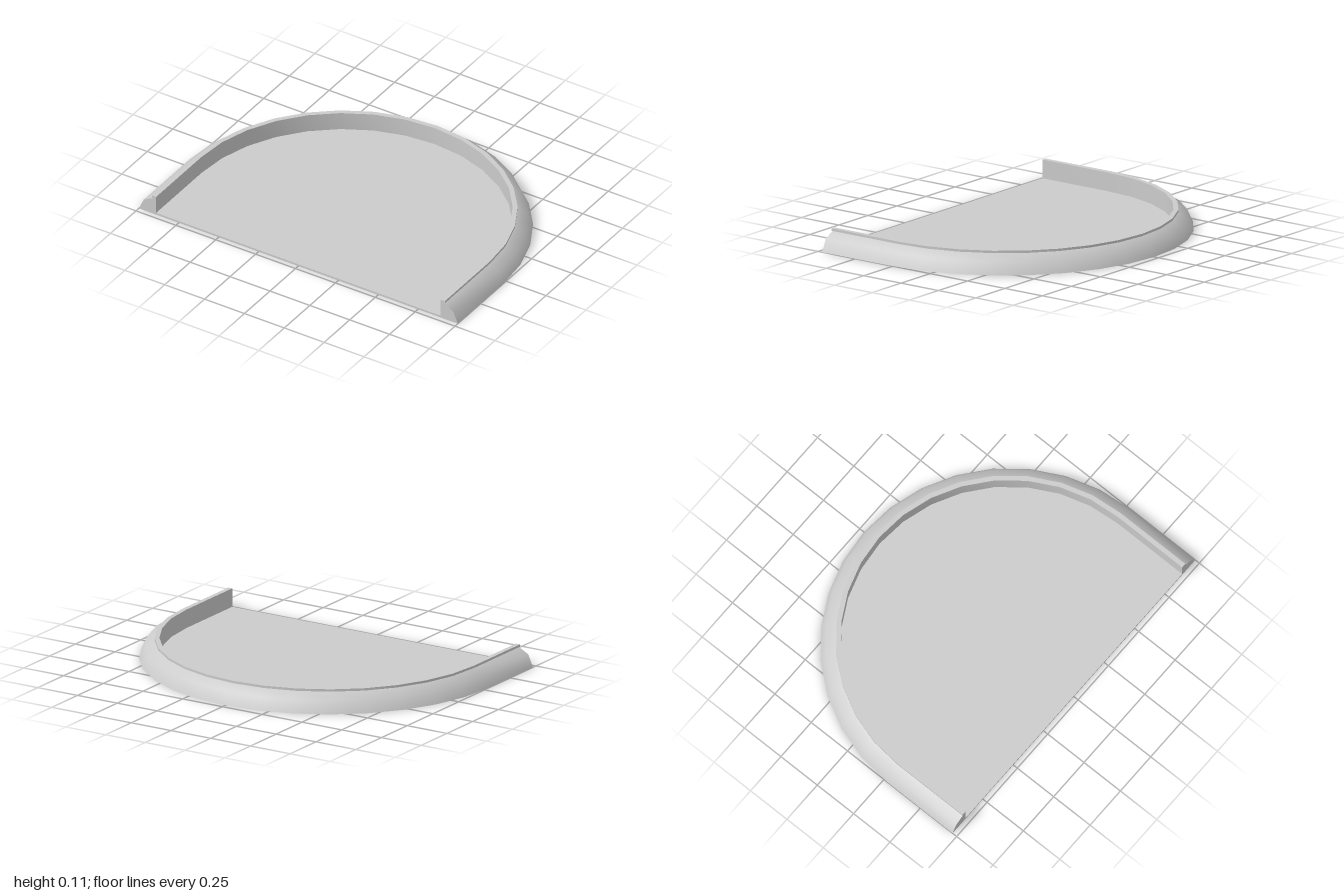
import * as THREE from 'three';
import { toCreasedNormals } from 'three/addons/utils/BufferGeometryUtils.js';

const FRONT = 0.722;   // z of the straight front edge
const CENTRE = 0.278;  // z of the centre of the rounded back
const STEPS = 16;      // segments in the half circle
const INNER = 0.892;   // radius of the inside wall

// Rim cross-section as [radius, height], from outer foot to inner foot; open underneath
const PROFILE = [
  [1, 0], [0.97, 0.067], [0.908, 0.1], [0.918, 0.1],
  [0.918, 0.113], [INNER, 0.113], [INNER, 0],
];

// U-shaped outline at a given radius, from the +x front corner round the back to -x
function outline(r) {
  const points = [[r, FRONT]];
  for (let i = 0; i <= STEPS; i++) {
    const a = (Math.PI * i) / STEPS;
    points.push([r * Math.cos(a), CENTRE - r * Math.sin(a)]);
  }
  points.push([-r, FRONT]);
  return points;
}

// Sweep the cross-section along the outline
function rimGeometry() {
  const positions = [], index = [];
  for (const [r, y] of PROFILE) {
    for (const [x, z] of outline(r)) positions.push(x, y, z);
  }
  const n = STEPS + 3;
  for (let j = 0; j < PROFILE.length - 1; j++) {
    for (let i = 0; i < n - 1; i++) {
      const a = j * n + i, b = a + 1, c = a + n, d = c + 1;
      index.push(a, b, c, b, d, c);
    }
  }
  const geometry = new THREE.BufferGeometry();
  geometry.setAttribute('position', new THREE.Float32BufferAttribute(positions, 3));
  geometry.setIndex(index);
  return toCreasedNormals(geometry, 0.75);
}

export function createModel() {
  const model = new THREE.Group();
  model.name = 'roundedTray';
  const material = new THREE.MeshStandardMaterial({ color: 0xcccccc, side: THREE.DoubleSide });

  function add(name, geometry) {
    const mesh = new THREE.Mesh(geometry, material);
    mesh.name = name;
    model.add(mesh);
    return mesh;
  }

  // Raised rim, hollow from below
  add('rim', rimGeometry());

  // Flat plates closing the rim at its two front ends
  for (const [name, side] of [['leftRimEnd', 1], ['rightRimEnd', -1]]) {
    const section = new THREE.Shape(PROFILE.map(([r, y]) => new THREE.Vector2(side * r, y)));
    add(name, new THREE.ShapeGeometry(section)).position.z = FRONT;
  }

  // Thin floor slab inside the rim
  const floorShape = new THREE.Shape(outline(INNER).map(([x, z]) => new THREE.Vector2(x, -z)));
  const floor = new THREE.ExtrudeGeometry(floorShape, { depth: 0.011, bevelEnabled: false });
  floor.rotateX(-Math.PI / 2);
  add('floor', floor);

  return model;
}
